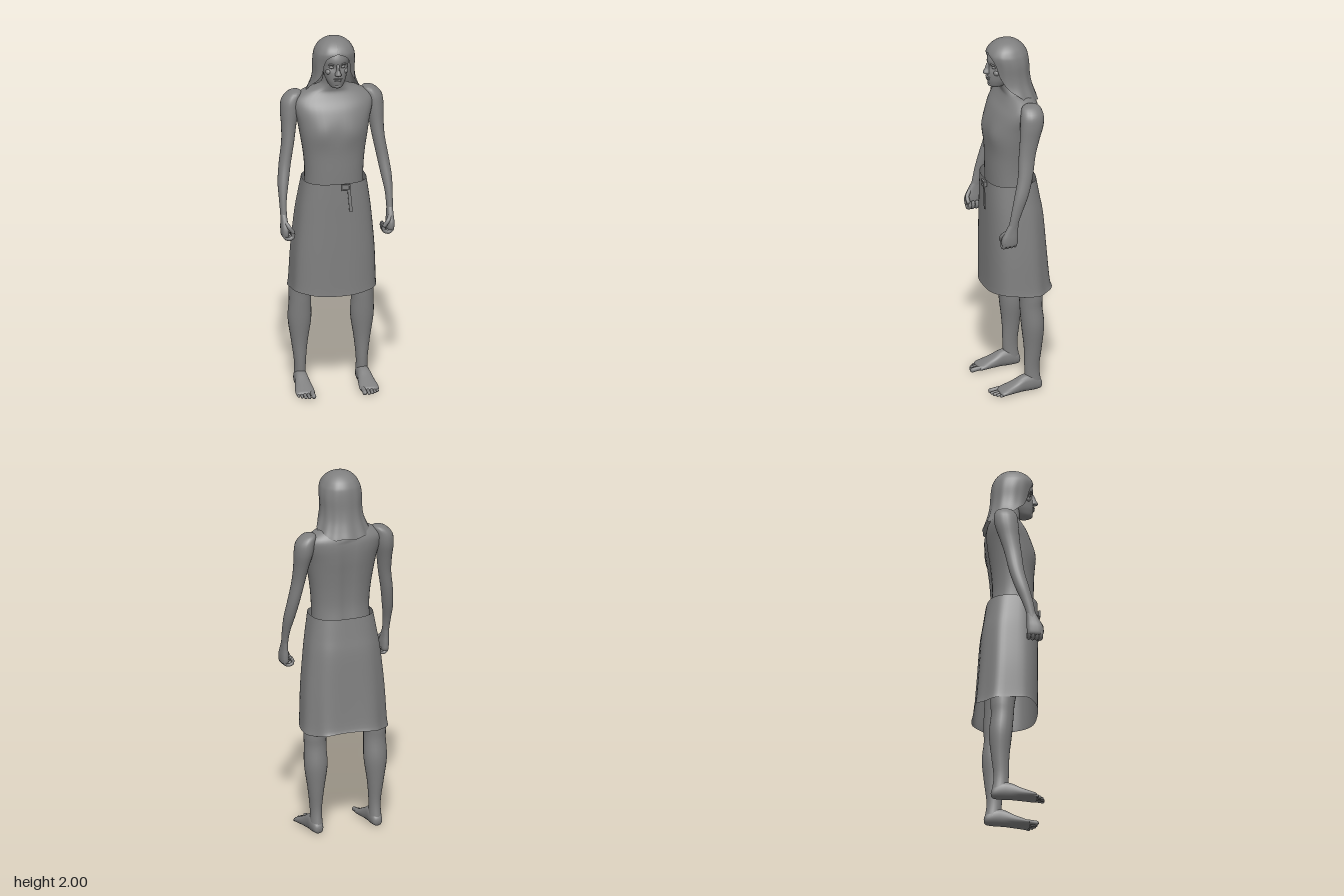
import * as THREE from 'three';

const grey = new THREE.MeshStandardMaterial({ color: 0x808080 });
grey.name = 'grey';
const greyCloth = grey.clone();
greyCloth.name = 'grey sheet';
greyCloth.side = THREE.DoubleSide;

// Catmull-Rom through a table of rows, each column on its own
function smoothRow(rows, f) {
  const i = Math.min(Math.floor(f), rows.length - 2), t = f - i;
  const at = (k) => rows[Math.max(0, Math.min(rows.length - 1, k))];
  return rows[0].map((_, c) => {
    const [a, b, d, e] = [at(i - 1)[c], at(i)[c], at(i + 1)[c], at(i + 2)[c]];
    return b + 0.5 * t * (d - a + t * (2 * a - 5 * b + 4 * d - e + t * (3 * (b - d) + e - a)));
  });
}

// Skin over oval rings [x, y, z, radiusX, radiusZ, frontGap], listed from the bottom up
function loft(rows, { sides = 28, steps = 4, power = 2, open = false, shape = null } = {}) {
  const pos = [], index = [];
  const n = (rows.length - 1) * steps, cols = open ? sides + 1 : sides;
  const bend = (v) => Math.sign(v) * Math.abs(v) ** (2 / power);
  for (let i = 0; i <= n; i++) {
    const [x, y, z, rx, rz, gap = 0] = smoothRow(rows, i / steps);
    for (let j = 0; j < cols; j++) {
      const a = gap + (j / sides) * (2 * Math.PI - 2 * gap);
      const p = new THREE.Vector3(
        x + Math.max(0, rx) * bend(Math.sin(a)), y, z + Math.max(0, rz) * bend(Math.cos(a)));
      if (shape) shape(p, a, i / n);
      pos.push(p.x, p.y, p.z);
      if (i < n && (j < sides)) {
        const k = open ? j + 1 : (j + 1) % sides;
        const r = i * cols, u = r + cols;
        index.push(r + j, r + k, u + k, r + j, u + k, u + j);
      }
    }
  }
  const g = new THREE.BufferGeometry();
  g.setAttribute('position', new THREE.Float32BufferAttribute(pos, 3));
  g.setIndex(index);
  g.computeVertexNormals();
  return g;
}

function mirrored(geometry) {
  const g = geometry.clone().scale(-1, 1, 1);
  const ix = g.index.array;
  for (let i = 0; i < ix.length; i += 3) [ix[i], ix[i + 1]] = [ix[i + 1], ix[i]];
  return g;
}

// Rounded finger or toe through a few points
function digit(points, r) {
  const curve = new THREE.CatmullRomCurve3(points.map((p) => new THREE.Vector3(...p)));
  const tube = new THREE.TubeGeometry(curve, 8, r, 8);
  const tip = new THREE.SphereGeometry(r, 8, 6).translate(...points[points.length - 1]);
  return [tube, tip];
}

function blob(x, y, z, rx, ry, rz) {
  return new THREE.SphereGeometry(1, 14, 10).scale(rx, ry, rz).translate(x, y, z);
}

export function createModel() {
  const model = new THREE.Group();
  const add = (name, g, material = grey) => {
    const m = new THREE.Mesh(g, material);
    m.name = name;
    model.add(m);
  };
  const pair = (name, g) => {
    add('left' + name, g);
    add('right' + name, mirrored(g));
  };
  const bump = (p, x, y, s) => Math.exp(-((Math.abs(p.x) - x) ** 2 + (p.y - y) ** 2) / (s * s));

  // Torso and neck, with chest muscles and a groove down the spine
  add('torso', loft([
    [0, 1.15, 0.02, 0.16, 0.12], [0, 1.25, 0.028, 0.158, 0.115], [0, 1.35, 0.027, 0.166, 0.117],
    [0, 1.45, 0.023, 0.182, 0.124], [0, 1.53, 0.013, 0.196, 0.125], [0, 1.6, -0.002, 0.214, 0.115],
    [0, 1.65, -0.015, 0.212, 0.096], [0, 1.69, -0.014, 0.155, 0.075], [0, 1.71, -0.004, 0.1, 0.066],
    [0, 1.735, 0.012, 0.066, 0.057], [0, 1.78, 0.025, 0.057, 0.054], [0, 1.83, 0.03, 0.055, 0.054],
  ], {
    sides: 40, power: 2.25, shape: (p) => {
      if (p.z > 0.04) p.z += 0.01 * bump(p, 0.085, 1.48, 0.06);
      if (p.z < -0.04) p.z += 0.014 * Math.exp(-((p.x / 0.03) ** 2)) * (p.y < 1.65 ? 1 : 0.3);
    },
  }));

  // Arms, from wrist to shoulder
  pair('Arm', loft([
    [0.289, 1.0, 0.108, 0.016, 0.026], [0.289, 1.06, 0.095, 0.018, 0.026],
    [0.288, 1.12, 0.078, 0.021, 0.031], [0.281, 1.2, 0.052, 0.029, 0.038],
    [0.266, 1.3, 0.025, 0.032, 0.041], [0.247, 1.41, 0.008, 0.034, 0.046],
    [0.238, 1.5, -0.01, 0.04, 0.054], [0.231, 1.58, -0.025, 0.05, 0.064],
    [0.222, 1.64, -0.03, 0.05, 0.062], [0.2, 1.68, -0.03, 0.034, 0.044], [0.19, 1.69, -0.03, 0, 0],
  ], { sides: 20 }));

  // Half-closed hands
  pair('Palm', loft([
    [0.286, 0.918, 0.122, 0, 0], [0.286, 0.922, 0.122, 0.018, 0.04], [0.287, 0.96, 0.121, 0.021, 0.045],
    [0.288, 1.0, 0.112, 0.018, 0.036], [0.289, 1.04, 0.1, 0.016, 0.026],
  ], { sides: 18, power: 2.5 }));
  [0.088, 0.109, 0.131, 0.151].forEach((z, i) => {
    digit([[0.294, 0.945, z], [0.288, 0.918, z + 0.002], [0.266, 0.91, z + 0.002], [0.245, 0.923, z],
      [0.25, 0.942, z]], i ? 0.011 : 0.009)
      .forEach((g) => pair('Finger', g));
  });
  digit([[0.285, 1.0, 0.138], [0.268, 0.975, 0.158], [0.25, 0.95, 0.158]], 0.011)
    .forEach((g) => pair('Thumb', g));

  // Legs, from ankle to hip
  pair('Leg', loft([
    [0.168, 0.04, -0.056, 0.033, 0.044], [0.168, 0.13, -0.048, 0.031, 0.041],
    [0.17, 0.25, -0.053, 0.044, 0.049], [0.17, 0.38, -0.052, 0.063, 0.062],
    [0.17, 0.49, -0.042, 0.06, 0.061], [0.168, 0.57, -0.04, 0.063, 0.066],
    [0.145, 0.75, -0.02, 0.075, 0.08], [0.1, 0.95, 0, 0.085, 0.09], [0.09, 1.0, 0, 0, 0],
  ], { sides: 22 }));

  // Feet, built along their length and laid flat
  pair('Foot', loft([
    [0.168, -0.104, -0.032, 0, 0], [0.168, -0.095, -0.032, 0.024, 0.026], [0.169, -0.05, -0.046, 0.035, 0.046],
    [0.17, 0, -0.046, 0.037, 0.046], [0.172, 0.055, -0.032, 0.045, 0.032],
    [0.174, 0.11, -0.02, 0.052, 0.02], [0.174, 0.138, -0.014, 0.046, 0.013], [0.174, 0.145, -0.013, 0, 0],
  ], { sides: 20, power: 2.3 }).rotateX(Math.PI / 2));
  [[0.139, 0.176, 0.013], [0.162, 0.176, 0.009], [0.181, 0.169, 0.009],
    [0.198, 0.158, 0.008], [0.214, 0.142, 0.008]].forEach(([x, z, r]) => {
    digit([[x - 0.003, r + 0.006, 0.1], [x, r + 0.005, (z + 0.1) / 2], [x, r, z]], r)
      .forEach((g) => pair('Toe', g));
  });

  // Wrapped skirt with soft folds and a wavy hem
  add('skirt', loft([
    [0, 0.575, -0.01, 0.234, 0.173], [0, 0.62, -0.005, 0.23, 0.167], [0, 0.8, 0.003, 0.222, 0.16],
    [0, 1.0, 0.01, 0.203, 0.153], [0, 1.1, 0.018, 0.189, 0.145], [0, 1.205, 0.026, 0.172, 0.136],
  ], {
    sides: 72, power: 2.7, shape: (p, a, t) => {
      const fold = 1 + 0.022 * (1 - t) * Math.cos(7 * a + 0.6) * (1 - 0.6 * Math.cos(a));
      p.x *= fold;
      if (p.z < 0) p.z *= fold;
      p.y += 0.009 * (1 - t) ** 4 * Math.sin(3 * a - 1.4);
    },
  }), greyCloth);

  // Belt clasp and hanging strap
  const ring = new THREE.Shape([[0.012, 1.172], [0.058, 1.172], [0.058, 1.206], [0.012, 1.206]]
    .map((p) => new THREE.Vector2(...p)));
  ring.holes.push(new THREE.Path([[0.018, 1.178], [0.018, 1.198], [0.052, 1.198], [0.052, 1.178]]
    .map((p) => new THREE.Vector2(...p))));
  add('clasp', new THREE.ExtrudeGeometry(ring, { depth: 0.01, bevelEnabled: false }).translate(0, 0, 0.174));
  add('claspPlate', new THREE.BoxGeometry(0.04, 0.026, 0.012).translate(0.035, 1.188, 0.171));
  add('strap', new THREE.BoxGeometry(0.017, 0.125, 0.005).rotateZ(0.09).translate(0.057, 1.112, 0.18));

  // Head
  add('head', loft([
    [0, 1.735, 0.09, 0, 0], [0, 1.739, 0.09, 0.03, 0.038], [0, 1.77, 0.076, 0.05, 0.065],
    [0, 1.805, 0.06, 0.062, 0.083], [0, 1.85, 0.045, 0.072, 0.094], [0, 1.9, 0.035, 0.079, 0.106],
    [0, 1.95, 0.03, 0.07, 0.085], [0, 1.98, 0.03, 0.04, 0.05], [0, 1.988, 0.03, 0, 0],
  ], {
    sides: 40, steps: 6, shape: (p) => {
      if (p.z > 0.05) p.z -= 0.015 * bump(p, 0.03, 1.856, 0.017);
    },
  }));
  // Face
  add('nose', loft([
    [0, 1.812, 0.138, 0, 0], [0, 1.815, 0.141, 0.016, 0.018], [0, 1.824, 0.143, 0.017, 0.025],
    [0, 1.845, 0.138, 0.009, 0.02], [0, 1.872, 0.134, 0.008, 0.013], [0, 1.885, 0.13, 0, 0],
  ], { sides: 14 }));
  add('upperLip', blob(0, 1.795, 0.139, 0.024, 0.005, 0.012));
  add('lowerLip', blob(0, 1.784, 0.138, 0.02, 0.006, 0.012));
  add('chin', blob(0, 1.752, 0.122, 0.022, 0.015, 0.018));
  pair('Eye', blob(0.03, 1.856, 0.116, 0.014, 0.008, 0.011));
  pair('Brow', blob(0.031, 1.874, 0.125, 0.024, 0.006, 0.01).rotateZ(0.03));
  pair('Cheek', blob(0.043, 1.828, 0.105, 0.018, 0.016, 0.018));

  // Long hair, parted to frame the face and flared over the shoulders
  add('hair', loft([
    [0, 1.68, 0.0, 0.152, 0.128, 1.75], [0, 1.715, 0.005, 0.135, 0.118, 1.45], [0, 1.76, 0.012, 0.119, 0.11, 1.0],
    [0, 1.81, 0.018, 0.113, 0.107, 0.72], [0, 1.87, 0.024, 0.114, 0.109, 0.6],
    [0, 1.91, 0.031, 0.11, 0.111, 0.42], [0, 1.935, 0.034, 0.102, 0.106, 0.0],
    [0, 1.965, 0.034, 0.083, 0.085, 0], [0, 1.99, 0.033, 0.048, 0.048, 0], [0, 2, 0.032, 0, 0, 0],
  ], {
    sides: 60, power: 2.2, open: true, shape: (p, a, t) => {
      const lock = 1 + 0.016 * (1 - t) * Math.cos(12 * a);
      p.x *= lock;
      p.z = 0.02 + (p.z - 0.02) * lock;
      p.y += (1 - t) ** 3 * (0.022 * Math.cos(a) + 0.004 * Math.sin(9 * a));
    },
  }), greyCloth);

  return model;
}
